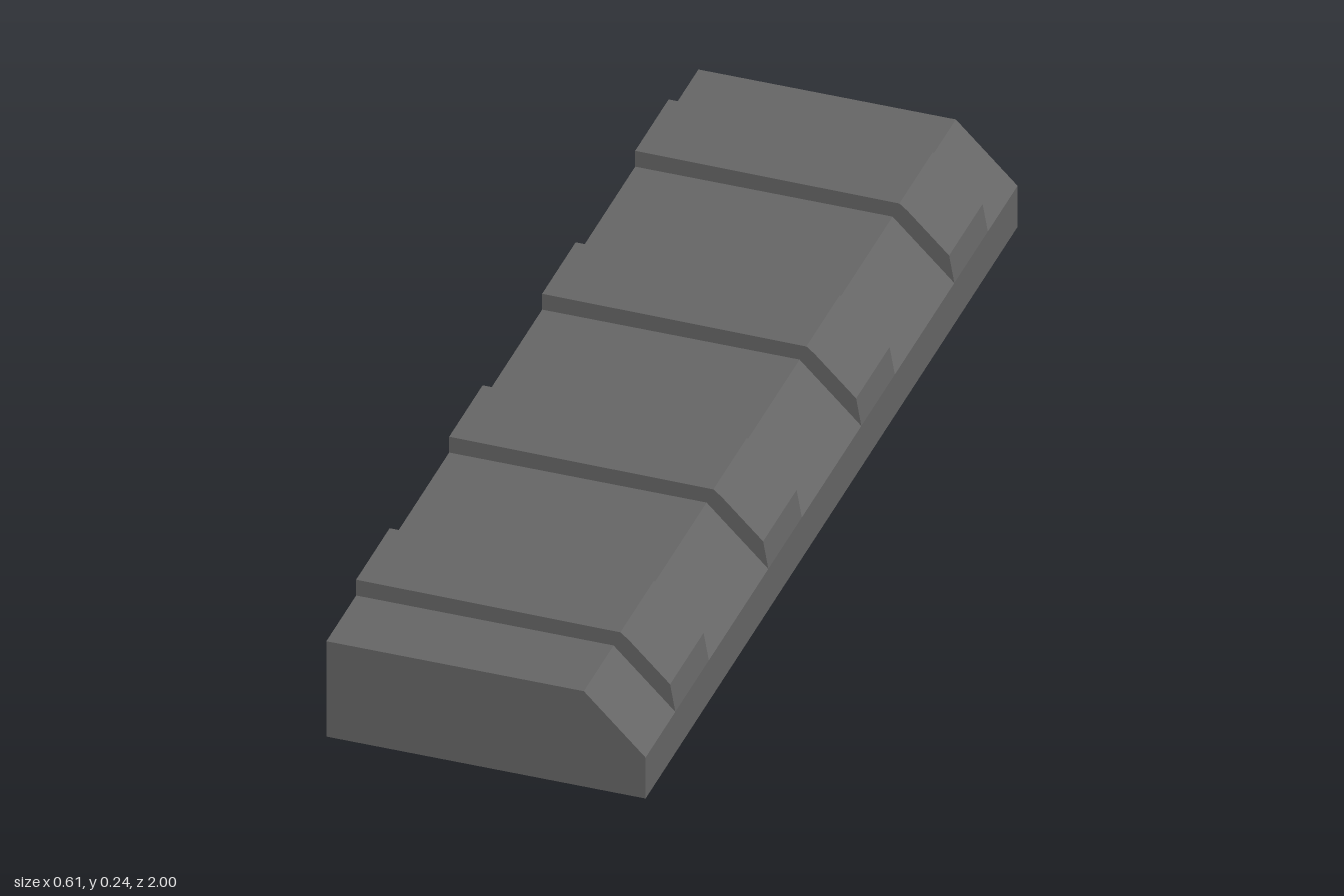
import * as THREE from 'three';

// Sweeps an open profile straight along z and closes both ends
// with quads between the outer profile and a matching inner one.
function shell(outer, inner, z0, z1) {
  const pos = [];
  const quad = (a, b, c, d) => pos.push(...a, ...b, ...c, ...a, ...c, ...d);
  const at = (p, z) => [p[0], p[1], z];
  for (let i = 0; i < outer.length - 1; i++) {
    const P = outer[i], Q = outer[i + 1], p = inner[i], q = inner[i + 1];
    quad(at(P, z1), at(Q, z1), at(Q, z0), at(P, z0));
    quad(at(p, z1), at(q, z1), at(Q, z1), at(P, z1));
    quad(at(P, z0), at(Q, z0), at(q, z0), at(p, z0));
  }
  const g = new THREE.BufferGeometry();
  g.setAttribute('position', new THREE.Float32BufferAttribute(pos, 3));
  g.computeVertexNormals();
  return g;
}

export function createModel() {
  const group = new THREE.Group();
  const grey = new THREE.MeshStandardMaterial({ color: 0x666666, side: THREE.DoubleSide });
  grey.name = 'dark grey casing';
  const white = new THREE.MeshStandardMaterial({ color: 0xd9d9d9 });
  white.name = 'pale lamp';

  const add = (name, geometry, material) => {
    const mesh = new THREE.Mesh(geometry, material);
    mesh.name = name;
    group.add(mesh);
    return mesh;
  };

  const W = 0.305, RX = 0.24, RZ = 0.92, RY = 0.13;

  // Casing: top, chamfer, side and ends; the mounting side stays open
  add('casing', shell(
    [[-W, 0.205], [0.187, 0.205], [W, 0.088], [W, 0]],
    [[-W, 0], [0.1, 0], [0.25, 0], [W, 0]], -1, 1), grey);

  // Four raised ribs that follow the chamfer
  const ribOuter = [[-W, 0.239], [0.2, 0.236], [0.215, 0.224], [0.295, 0.145], [W, 0.088]];
  const ribInner = [[-W, 0.205], [0.187, 0.205], [0.196, 0.196], [0.28, 0.113], [W, 0.088]];
  for (const z of [-0.75, -0.25, 0.25, 0.75]) {
    add('rib', shell(ribOuter, ribInner, z - 0.09, z + 0.09), grey);
  }

  // Bottom rim around the recess
  const rect = (C, x, z) => {
    const s = new C();
    s.moveTo(-x, -z); s.lineTo(x, -z); s.lineTo(x, z); s.lineTo(-x, z); s.closePath();
    return s;
  };
  const rim = rect(THREE.Shape, W, 1);
  rim.holes.push(rect(THREE.Path, RX, RZ));
  add('bottomRim', new THREE.ShapeGeometry(rim).rotateX(Math.PI / 2), grey);

  // Recess walls and ceiling, facing inwards
  add('recess', shell(
    [[RX, 0], [RX, RY], [-RX, RY], [-RX, 0]],
    [[RX, 0], [0.08, 0], [-0.08, 0], [-RX, 0]], -RZ, RZ), grey);

  // Three lamp bars hanging from the recess ceiling
  for (const x of [-0.146, -0.006, 0.134]) {
    add('lampBar', new THREE.BoxGeometry(0.06, 0.06, 2 * RZ - 0.004), white)
      .position.set(x, RY - 0.031, 0);
  }
  return group;
}
